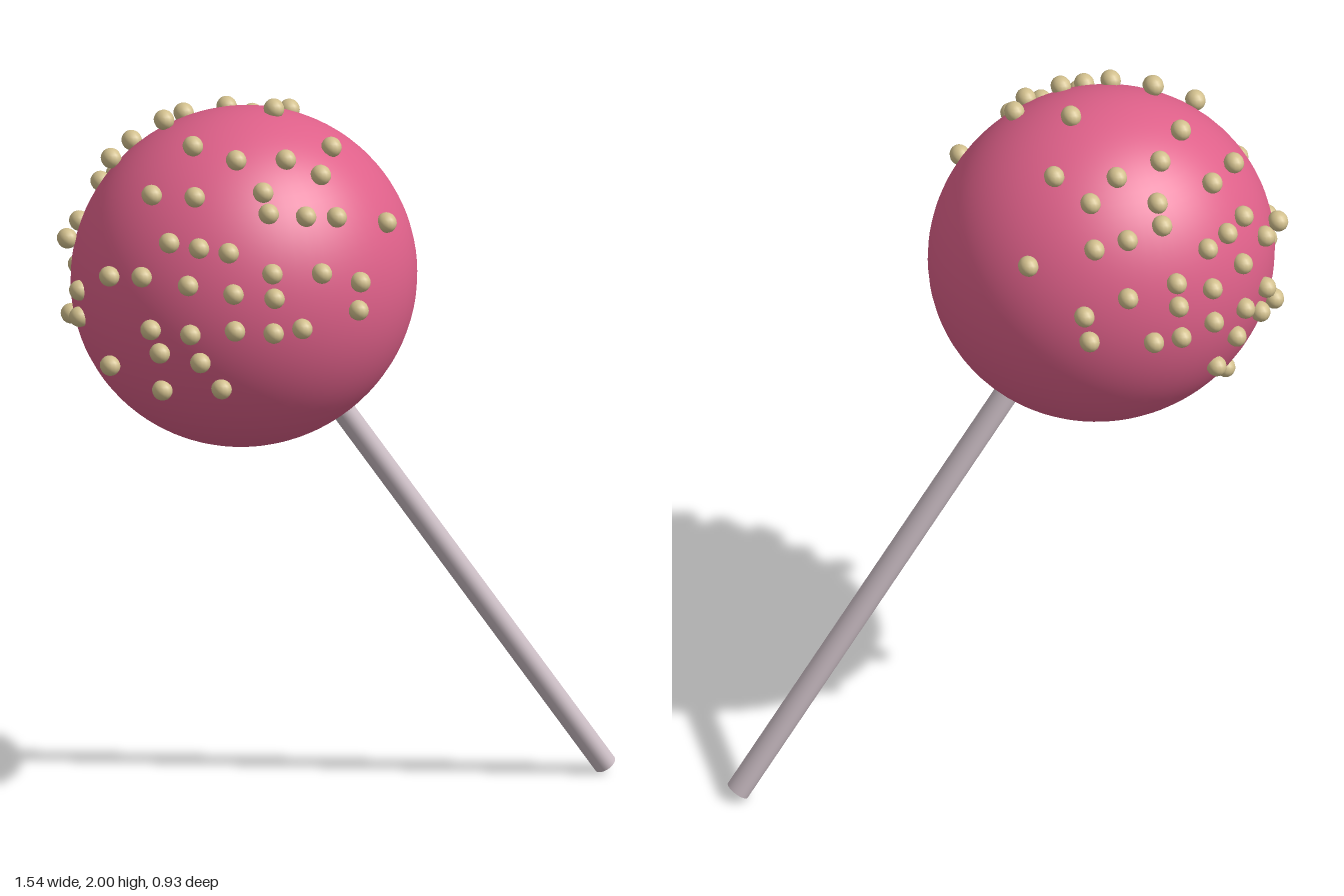
import * as THREE from 'three';

export function createModel() {
  const group = new THREE.Group();
  const mat = (name, color) => {
    const m = new THREE.MeshStandardMaterial({ color });
    m.name = name;
    return m;
  };
  const pink = mat('pink coating', 0xde6089);
  const cream = mat('cream sprinkles', 0xd2c08e);
  const pale = mat('pale stick', 0xcdbfc6);

  const centre = new THREE.Vector3(-0.282, 1.517, 0);
  const radii = new THREE.Vector3(0.464, 0.456, 0.425);

  // slightly flattened ball
  const ball = new THREE.Mesh(new THREE.SphereGeometry(1, 64, 48), pink);
  ball.name = 'ball';
  ball.position.copy(centre);
  ball.scale.copy(radii);
  group.add(ball);

  // slanted stick running into the ball's centre
  const end = new THREE.Vector3(0.738, 0.018, 0);
  const axis = centre.clone().sub(end);
  const length = axis.length() - 0.3;
  const stick = new THREE.Mesh(new THREE.CylinderGeometry(1, 1, length, 24), pale);
  stick.name = 'stick';
  axis.normalize();
  stick.quaternion.setFromUnitVectors(new THREE.Vector3(0, 1, 0), axis);
  stick.position.copy(end).addScaledVector(axis, length / 2);
  stick.scale.set(0.031, 1, 0.036);
  group.add(stick);

  // sprinkles: little beads sitting on the surface
  const beadGeo = new THREE.SphereGeometry(1, 14, 10);
  const sprinkles = new THREE.Group();
  sprinkles.name = 'sprinkles';
  group.add(sprinkles);
  const bead = (x, y, z) => {
    const m = new THREE.Mesh(beadGeo, cream);
    m.name = 'sprinkle';
    m.position.set(x, y, z);
    m.scale.set(0.027, 0.027, 0.031);
    sprinkles.add(m);
  };

  // beads on the middle line
  [[-0.197, 1.977], [-0.747, 1.534], [-0.747, 1.46]].forEach(([x, y]) => bead(x, y, 0));

  // upper beads, mirrored front to back
  const upper = [
    [-0.467, 1.942, 0.11], [-0.378, 1.921, 0.2], [-0.247, 1.915, 0.225],
    [-0.094, 1.91, 0.16], [-0.161, 1.873, 0.26], [-0.337, 1.857, 0.295],
    [-0.51, 1.847, 0.24], [-0.6, 1.836, 0.155], [0.019, 1.722, 0.275],
    [-0.722, 1.624, 0.16],
  ];
  upper.forEach(([x, y, z]) => { bead(x, y, z); bead(x, y, -z); });

  // side beads, their depth follows the ball, mirrored front to back
  const side = [
    [-0.336, 1.81], [-0.235, 1.794], [-0.145, 1.778], [-0.59, 1.735], [-0.526, 1.73],
    [-0.457, 1.722], [-0.352, 1.667], [-0.214, 1.653], [-0.659, 1.64], [-0.563, 1.635],
    [-0.457, 1.618], [-0.352, 1.603], [-0.098, 1.608], [-0.108, 1.534], [-0.648, 1.503],
    [-0.563, 1.503], [-0.457, 1.518], [-0.357, 1.508], [-0.278, 1.513], [-0.627, 1.439],
    [-0.537, 1.423], [-0.479, 1.344],
  ];
  const depth = (x, y) => {
    const u = (x - centre.x) / radii.x, v = (y - centre.y) / radii.y;
    return radii.z * Math.sqrt(Math.max(0, 1.045 - u * u - v * v));
  };
  side.forEach(([x, y]) => { const z = depth(x, y); bead(x, y, z); bead(x, y, -z); });

  // lowest beads, uneven between front and back
  [[-0.712, 1.365, 0.14], [-0.609, 1.323, 0.26], [-0.7, 1.4, -0.19], [-0.565, 1.207, -0.185]]
    .forEach((p) => bead(...p));

  return group;
}
